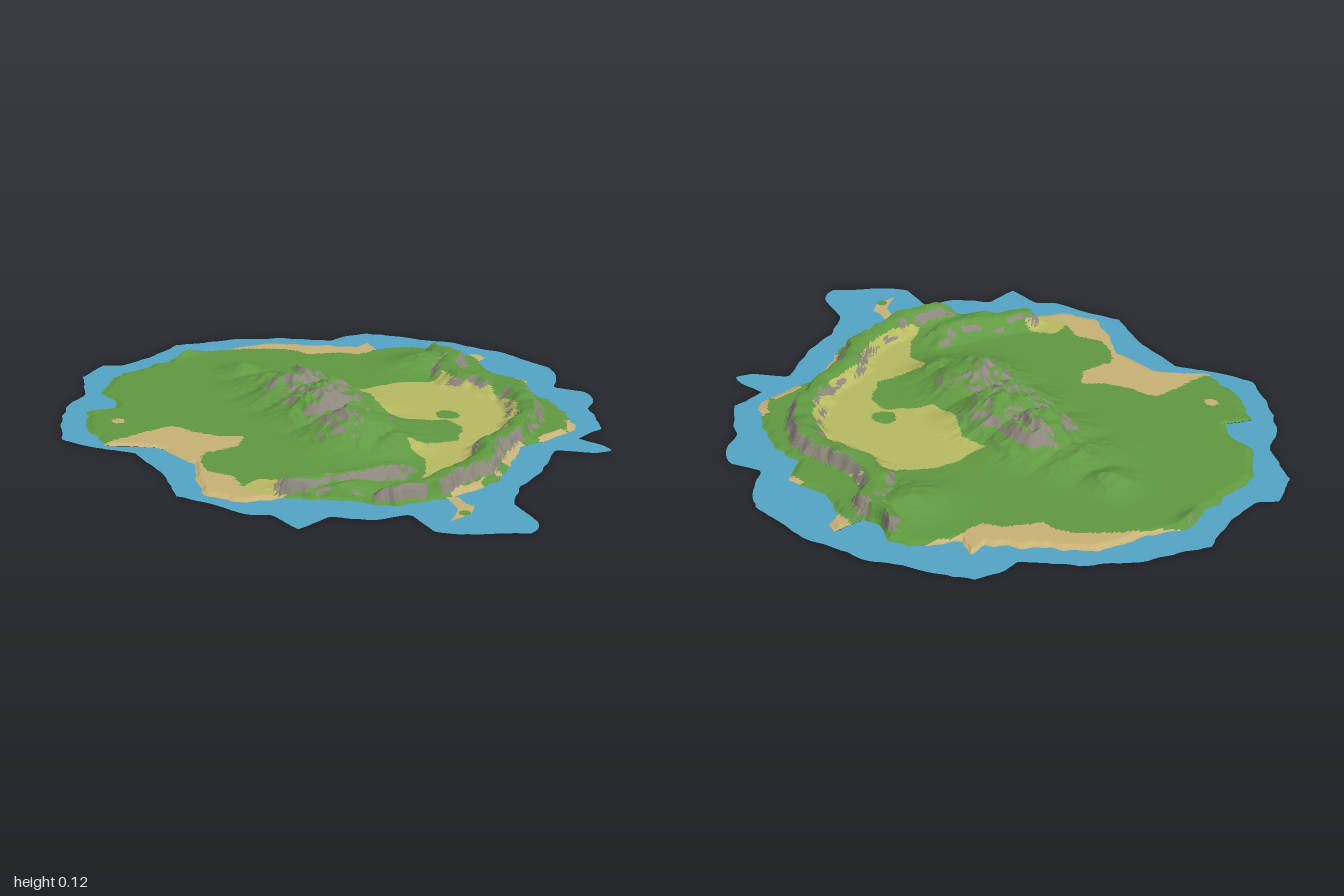
import * as THREE from 'three';

// Outlines are x, z pairs in hundredths, running clockwise seen from above.
const SEA = [-12, -100, 8, -95, 24, -87, 37, -75, 43, -77, 52, -76, 59, -68, 65, -58, 73, -50, 76, -40, 81, -31, 82, -21,
  85, -10, 80, 0, 73, 7, 79, 16, 77, 24, 69, 30, 68, 35, 62, 46, 50, 49, 53, 58, 52, 63, 46, 61, 38, 53, 32, 58, 22, 66,
  11, 71, 2, 80, 0, 95, -6, 100, -15, 94, -24, 89, -28, 84, -27, 71, -39, 68, -47, 60, -59, 63, -60, 50, -66, 46, -69, 37,
  -76, 24, -72, 8, -71, -13, -79, -23, -85, -35, -79, -50, -71, -63, -61, -70, -55, -86, -44, -94, -38, -90, -26, -93];
const COAST = [-14, -91, 0, -87, 16, -84, 32, -72, 41, -64, 47, -66, 45, -59, 56, -54, 63, -47, 60, -39, 62, -33, 73, -34,
  72, -30, 66, -26, 65, -13, 70, -2, 62, 5, 64, 16, 60, 32, 55, 43, 40, 46, 30, 46, 21, 55, 8, 65, -8, 68, -28, 65,
  -38, 53, -50, 43, -63, 39, -70, 29, -66, 16, -61, 5, -64, -13, -76, -23, -75, -39, -69, -54, -60, -51, -56, -60,
  -57, -68, -47, -80, -23, -86];
const SPIT = [-12, 66, -9, 68, -10, 73, -9, 76, -13, 80, -21, 81, -17, 78, -14, 75];

// Ground cover patches
const SAND = [
  [-90, -24, -62, -25, -52, -26, -49, -18, -44, -11, -38, -5, -42, 0, -52, 0, -59, 5, -60, 13, -56, 21, -58, 32, -52, 40, -60, 60, -90, 40],
  [-14, -95, -13, -90, 3, -81, 14, -75, 20, -68, 21, -63, 30, -60, 35, -55, 46, -56, 54, -54, 70, -60, 50, -90],
  [66, -40, 66, -26, 80, -26, 80, -40], [67, -6, 67, 2, 75, 2, 75, -6]
];
const MEADOW = [
  [11, -22, 30, -23, 43, -16, 55, -21, 52, -5, 50, 3, 47, 22, 43, 32, 30, 40, 14, 51, -2, 56, -16, 55, -8, 50, -2, 40, 0, 29,
    16, 32, 24, 24, 23, 16, 11, 8, 10, -5, 14, -13],
  [-60, 30, -52, 27, -45, 32, -45, 40, -55, 43]
];

// Cliff crests and hills (x, z, height, radius x, radius z)
const RIDGES = [
  [-27, 62, -14, 62, -4, 59, 10, 55, 20, 45, 34, 39, 44, 31, 52, 20, 55, 10, 52, 0, 48, -10, 49, -20, 57, -27, 60, -40],
  [-47, 40, -36, 43, -26, 46, -16, 46]
];
const HILLS = [[-.05, -.1, .117, .14, .13], [-.05, -.27, .108, .13, .11], [-.08, .12, .096, .13, .13], [-.04, .25, .045, .1, .08],
  [-.08, -.42, .04, .12, .1], [-.08, -.58, .036, .07, .07], [-.17, -.87, .022, .06, .03], [.48, -.34, .036, .13, .09], [-.34, .48, .03, .12, .06]];
const CENTRE = new THREE.Vector2(-.05, -.1);

const points = a => Array.from({ length: a.length / 2 }, (_, i) => new THREE.Vector2(a[2 * i] / 100, a[2 * i + 1] / 100));
const smooth = (a, b, x) => THREE.MathUtils.smoothstep(x, a, b);

// Seeded value noise, 0 to 1
function hash(i, j) {
  const s = Math.sin(i * 127.1 + j * 311.7) * 43758.5453;
  return s - Math.floor(s);
}
function noise(x, z) {
  const i = Math.floor(x), j = Math.floor(z), u = smooth(0, 1, x - i), v = smooth(0, 1, z - j);
  const mix = THREE.MathUtils.lerp;
  return mix(mix(hash(i, j), hash(i + 1, j), u), mix(hash(i, j + 1), hash(i + 1, j + 1), u), v);
}

// Closed outline, evenly resampled with a slightly ragged edge
function ragged(list, count, amount) {
  const pts = points(list), path = new THREE.Path([...pts, pts[0]].map(p => p.clone()));
  return path.getSpacedPoints(count).slice(0, count).map(p => {
    const k = 1 - amount * noise(p.x * 38, p.y * 38);
    return p.sub(CENTRE).multiplyScalar(k).add(CENTRE);
  });
}

function inside(poly, x, z) {
  let hit = false;
  for (let i = 0, j = poly.length - 1; i < poly.length; j = i++) {
    const a = poly[i], b = poly[j];
    if ((a.y > z) !== (b.y > z) && x < (b.x - a.x) * (z - a.y) / (b.y - a.y) + a.x) hit = !hit;
  }
  return hit;
}

const sandAreas = SAND.map(points), meadowAreas = MEADOW.map(points), crests = RIDGES.map(points);

// Height of a crest: gentle towards the interior, steep towards the sea
function crestHeight(line, x, z) {
  let best = Infinity, outer = false;
  for (let i = 0; i < line.length - 1; i++) {
    const a = line[i], b = line[i + 1], dx = b.x - a.x, dz = b.y - a.y;
    const t = THREE.MathUtils.clamp(((x - a.x) * dx + (z - a.y) * dz) / (dx * dx + dz * dz), 0, 1);
    const px = a.x + dx * t, pz = a.y + dz * t, d = Math.hypot(x - px, z - pz);
    if (d < best) {
      best = d;
      outer = Math.hypot(x - CENTRE.x, z - CENTRE.y) > Math.hypot(px - CENTRE.x, pz - CENTRE.y);
    }
  }
  best += .022 * (noise(x * 32 + 7, z * 32) - .5);
  const top = .037 + .012 * noise(x * 22, z * 22);
  return top * (outer ? 1 - smooth(.012, .048, best) : 1 - smooth(.01, .085, best));
}

function landHeight(x, z) {
  const crag = Math.abs(noise(x * 17 + 3, z * 17) * 2 - 1) * .6 + Math.abs(noise(x * 36, z * 36 + 9) * 2 - 1) * .4;
  let h = 0;
  for (const [cx, cz, top, rx, rz] of HILLS) {
    const g = top * Math.exp(-(((x - cx) / rx) ** 2) - ((z - cz) / rz) ** 2);
    h = Math.max(h, g);
  }
  h *= 1.1 - .42 * crag;
  for (const line of crests) h = Math.max(h, crestHeight(line, x, z));
  return .009 + h;
}

// Material index of a face: 0 grass, 1 meadow, 2 sand, 3 rock
function cover(x, y, z, slope, rim) {
  const patch = noise(x * 14 + 5, z * 14);
  if (y > .014 && slope < .74 && patch > .25) return 3;
  if (y > .05 && slope < .84 && patch > .64) return 3;
  const wx = x + .02 * (noise(x * 18, z * 18) - .5), wz = z + .02 * (noise(x * 18 + 40, z * 18) - .5);
  if (sandAreas.some(p => inside(p, wx, wz)) || Math.hypot(wx + .635, wz + .385) < .022) return 2;
  if (rim > .95 && z > .35 && x > -.1 && patch > .4) return 2;
  if (y < .04 && Math.hypot(wx - .265, wz - .12) > .04 && meadowAreas.some(p => inside(p, wx, wz))) return 1;
  return 0;
}

// Terrain: rings shrinking from the coastline to the centre, split by ground cover
function terrain(coast, rings) {
  const n = coast.length, faces = [[], [], [], []];
  const grid = Array.from({ length: rings + 1 }, (_, r) => coast.map(c => {
    const t = r / rings, x = CENTRE.x + (c.x - CENTRE.x) * t, z = CENTRE.y + (c.y - CENTRE.y) * t;
    return new THREE.Vector3(x, .002 + (landHeight(x, z) - .002) * smooth(0, .035, 1 - t), z);
  }));
  const tri = new THREE.Triangle(), mid = new THREE.Vector3(), normal = new THREE.Vector3();
  const add = (a, b, c, rim) => {
    tri.set(a, b, c).getNormal(normal);
    tri.getMidpoint(mid);
    faces[cover(mid.x, mid.y, mid.z, Math.abs(normal.y), rim)].push(a, b, c);
  };
  for (let r = 0; r < rings; r++) {
    for (let i = 0; i < n; i++) {
      const j = (i + 1) % n, rim = (r + .5) / rings;
      add(grid[r][i], grid[r + 1][j], grid[r + 1][i], rim);
      if (r > 0) add(grid[r][i], grid[r][j], grid[r + 1][j], rim);
    }
  }
  return faces;
}

// Flat sheet lying at height y
function sheet(outline, y, hole) {
  const flip = pts => pts.map(p => new THREE.Vector2(p.x, -p.y));
  const shape = new THREE.Shape(flip(outline));
  if (hole) shape.holes.push(new THREE.Path(flip(hole)));
  return new THREE.ShapeGeometry(shape).rotateX(-Math.PI / 2).translate(0, y, 0);
}

export function createModel() {
  const group = new THREE.Group();
  const paint = (name, color) => Object.assign(new THREE.MeshStandardMaterial({ color, side: THREE.DoubleSide }), { name });
  const grass = paint('grass green', 0x619a42), meadow = paint('meadow yellow', 0xb8bb62);
  const sand = paint('beach sand', 0xc9b378), rock = paint('rock grey', 0x8e877d), water = paint('sea blue', 0x54a6c7);
  const add = (name, geometry, material) => {
    const mesh = new THREE.Mesh(geometry, material);
    mesh.name = name;
    group.add(mesh);
  };

  const coast = ragged(COAST, 380, .025);
  const names = ['grassland', 'meadow', 'beach', 'cliffs'];
  terrain(coast, 90).forEach((list, k) => {
    const geometry = new THREE.BufferGeometry().setFromPoints(list);
    geometry.computeVertexNormals();
    add(names[k], geometry, [grass, meadow, sand, rock][k]);
  });

  // Sea ring tucked just under the shore, and the small sand spit in front
  const shore = coast.map(p => p.clone().sub(CENTRE).multiplyScalar(.992).add(CENTRE));
  add('sea', sheet(ragged(SEA, 320, .012), 0, shore), water);
  add('sandSpit', sheet(points(SPIT), .005), sand);
  add('spitGrass', new THREE.CircleGeometry(.018, 9).rotateX(-Math.PI / 2).translate(-.145, .008, .79), grass);
  return group;
}
